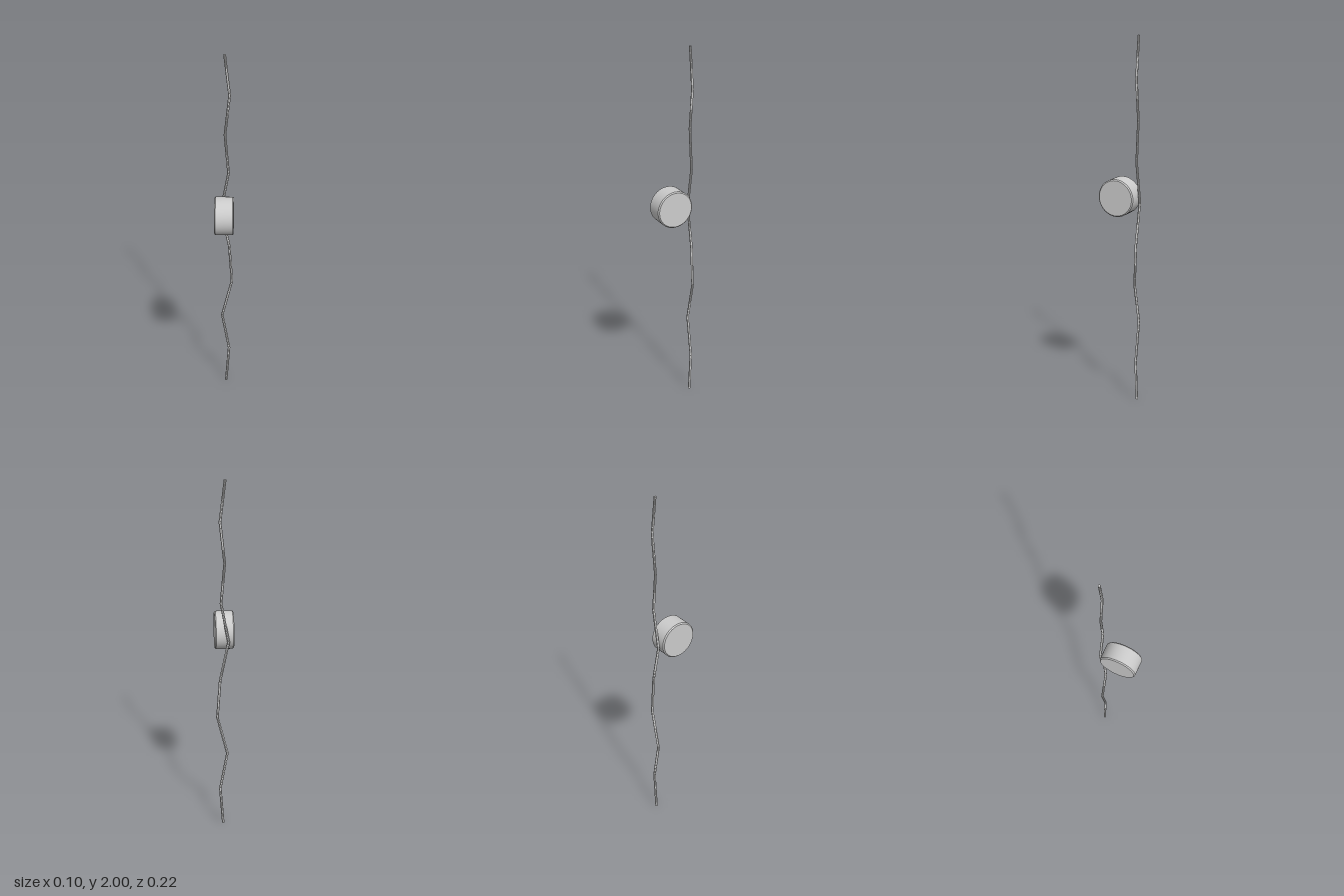
import * as THREE from 'three';
import { toCreasedNormals } from 'three/addons/utils/BufferGeometryUtils.js';

const material = new THREE.MeshStandardMaterial({ color: 0xcccccc });

// Drum lying on its side, axis along x, with narrow chamfered rims
function createDrum() {
  const radius = 0.102, half = 0.051, bevel = 0.006;
  const profile = [
    [0, -half], [radius - bevel, -half], [radius, -half + bevel],
    [radius, half - bevel], [radius - bevel, half], [0, half],
  ].map(([r, y]) => new THREE.Vector2(r, y));
  const geometry = toCreasedNormals(new THREE.LatheGeometry(profile, 48), 0.5);
  geometry.rotateZ(Math.PI / 2);
  const drum = new THREE.Mesh(geometry, material);
  drum.name = 'drum';
  drum.position.set(0, 1.135, 0.006);
  return drum;
}

// Upright cord whose evenly spaced rings are shifted sideways into a zigzag
function createCord() {
  const offsets = [0.01, 0.026, -0.013, 0.041, 0.026, -0.019, 0.021, 0.002, 0.026, 0];
  const spans = offsets.length - 1;
  const geometry = new THREE.CylinderGeometry(0.007, 0.007, 2, 8, spans);
  geometry.translate(0, 1, 0);
  const p = geometry.attributes.position;
  for (let i = 0; i < p.count; i++) {
    p.setX(i, p.getX(i) + offsets[Math.round(p.getY(i) / 2 * spans)]);
  }
  const cord = new THREE.Mesh(toCreasedNormals(geometry, 0.9), material);
  cord.name = 'cord';
  cord.position.z = -0.105;
  return cord;
}

export function createModel() {
  const model = new THREE.Group();
  model.name = 'drumOnCord';
  model.add(createDrum(), createCord());
  return model;
}
